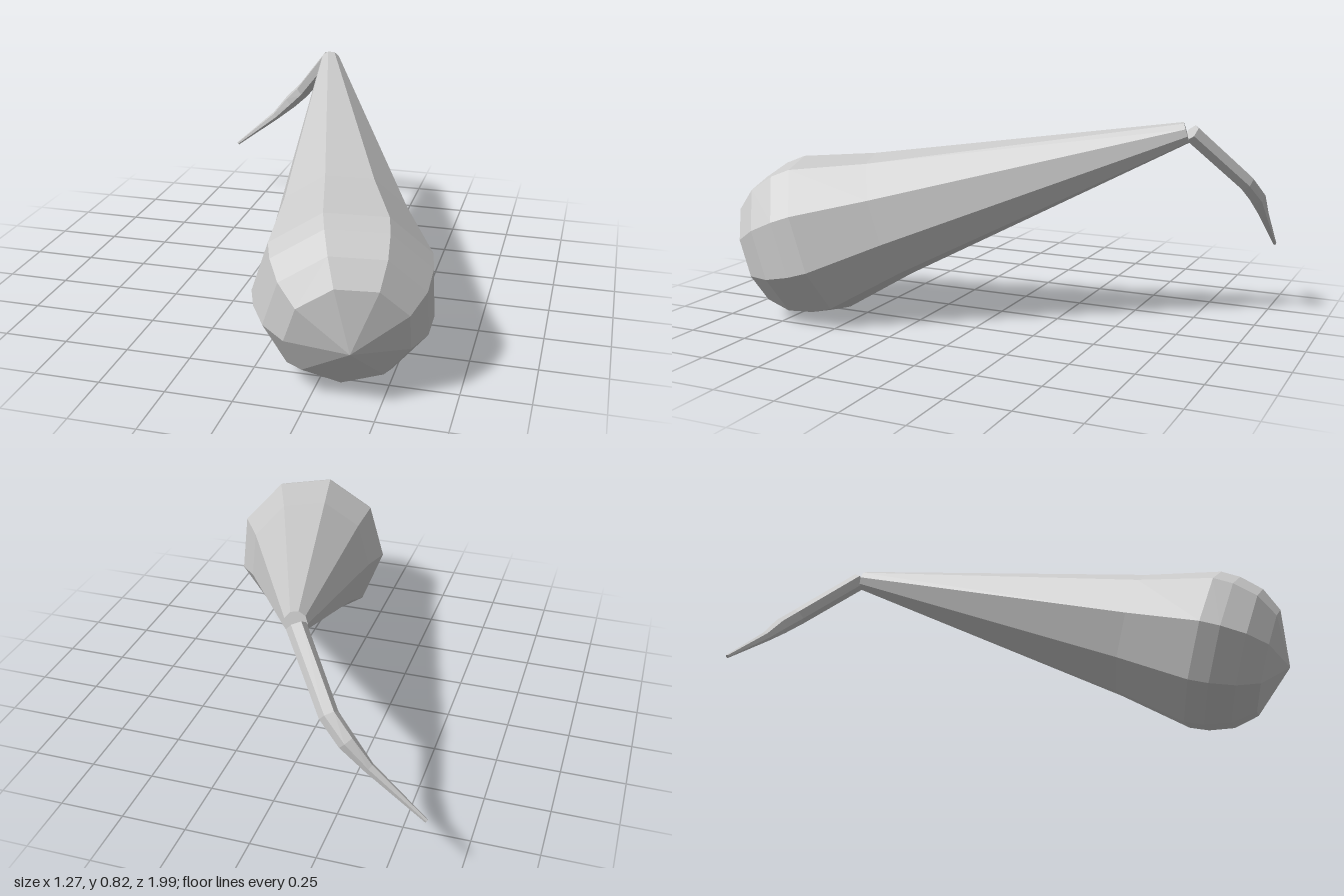
import * as THREE from 'three';

const FORWARD = new THREE.Vector3(0, 0, 1);

// Closed loft through rings { center, direction, radius }, running towards +z.
function loft(rings, sides, phase) {
  const pos = [];
  const n = rings.length;
  for (const { center, direction, radius } of rings) {
    const q = new THREE.Quaternion().setFromUnitVectors(FORWARD, direction);
    for (let i = 0; i < sides; i++) {
      const a = phase + (i / sides) * Math.PI * 2;
      const p = new THREE.Vector3(Math.cos(a), Math.sin(a), 0).multiplyScalar(radius);
      pos.push(...p.applyQuaternion(q).add(center).toArray());
    }
  }
  const index = [];
  for (let r = 0; r < n - 1; r++) {
    for (let i = 0; i < sides; i++) {
      const j = (i + 1) % sides;
      const a = r * sides + i, b = r * sides + j;
      index.push(a, b, b + sides, a, b + sides, a + sides);
    }
  }
  // End fans
  const start = n * sides, end = start + 1, last = (n - 1) * sides;
  pos.push(...rings[0].center.toArray(), ...(rings[n - 1].pole ?? rings[n - 1].center).toArray());
  for (let i = 0; i < sides; i++) {
    const j = (i + 1) % sides;
    index.push(start, j, i, last + i, last + j, end);
  }
  const g = new THREE.BufferGeometry();
  g.setAttribute('position', new THREE.Float32BufferAttribute(pos, 3));
  g.setIndex(index);
  const flat = g.toNonIndexed();
  flat.computeVertexNormals();
  return flat;
}

export function createModel() {
  const group = new THREE.Group();
  const material = new THREE.MeshStandardMaterial({ color: 0xcccccc, flatShading: true });
  const add = (name, geometry) => {
    const mesh = new THREE.Mesh(geometry, material);
    mesh.name = name;
    group.add(mesh);
  };

  // Nine-sided drop-shaped body: [distance behind the front pole, radius]
  const pole = new THREE.Vector3(0.41, 0.235, 0.985);
  const tip = new THREE.Vector3(-0.1, 0.79, -0.75);
  const axis = pole.clone().sub(tip).normalize();
  const profile = [
    [1.88, 0.042], [0.65, 0.262], [0.35, 0.333], [0.27, 0.326], [0.17, 0.293], [0.085, 0.222],
  ];
  add('body', loft(profile.map(([s, radius]) => ({
    center: pole.clone().addScaledVector(axis, -s), direction: axis, radius, pole,
  })), 9, THREE.MathUtils.degToRad(22)));

  // Thin bent stem, from its free end to the body's tip: [x, y, z, radius]
  const stem = [
    [-0.635, 0.257, -0.988, 0.007],
    [-0.43, 0.425, -0.978, 0.02],
    [-0.35, 0.505, -0.968, 0.033],
    [-0.278, 0.575, -0.937, 0.035],
    [-0.105, 0.785, -0.755, 0.037],
  ];
  const points = stem.map(([x, y, z]) => new THREE.Vector3(x, y, z));
  add('stem', loft(stem.map((row, i) => ({
    center: points[i],
    direction: points[Math.min(i + 1, points.length - 1)].clone()
      .sub(points[Math.max(i - 1, 0)]).normalize(),
    radius: row[3],
  })), 6, 0));

  return group;
}
